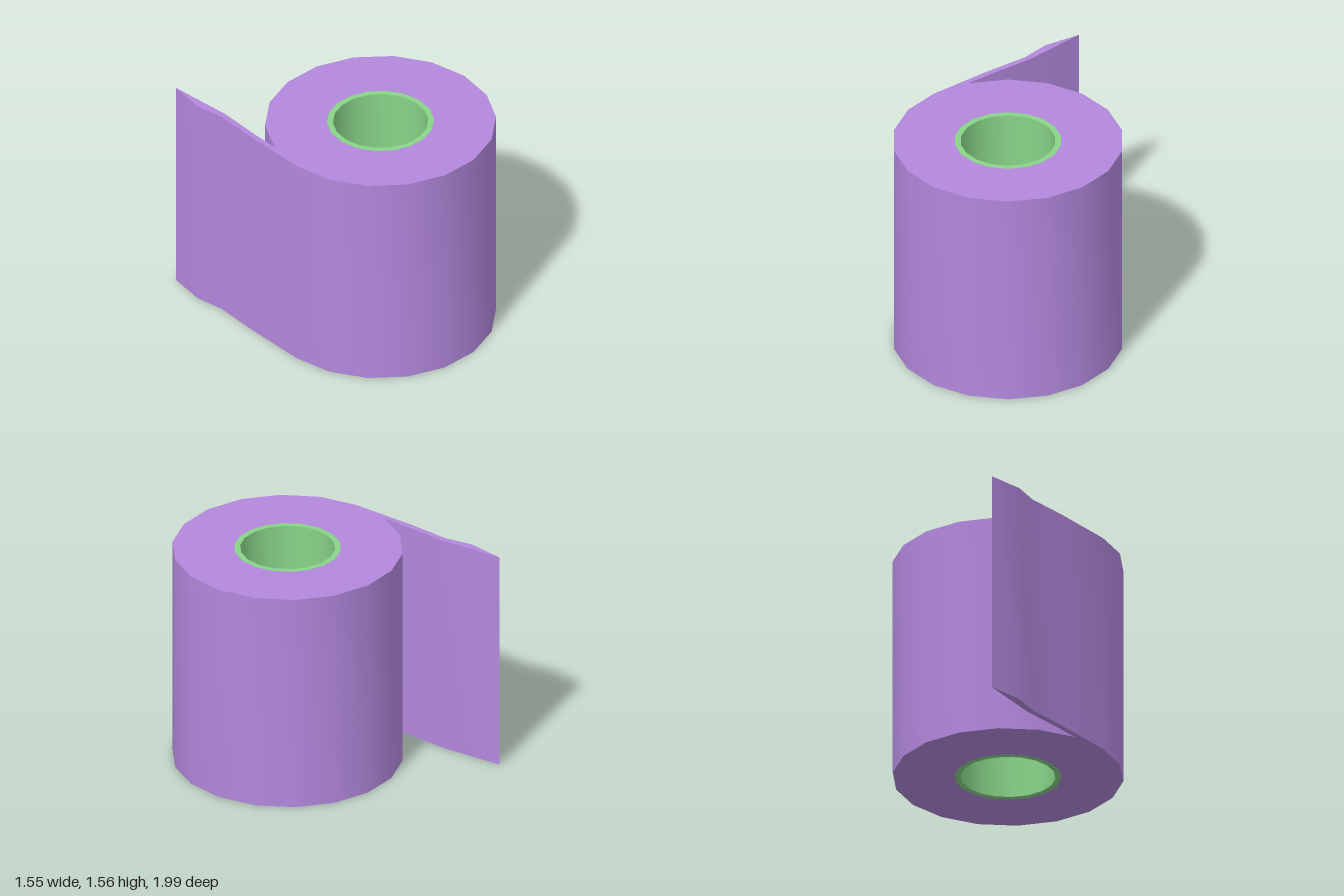
import * as THREE from 'three';
import { toCreasedNormals } from 'three/addons/utils/BufferGeometryUtils.js';

const HEIGHT = 1.56, SIDES = 18, CENTRE_Z = 0.23;

// Corners of a regular ring around the roll axis (shape y is world -z)
function ring(radius) {
  return Array.from({ length: SIDES }, (_, i) => {
    const a = (i / SIDES) * Math.PI * 2;
    return new THREE.Vector2(radius * Math.cos(a), radius * Math.sin(a) - CENTRE_Z);
  });
}

// Stands a plan outline with a round hole up to the full height
function upright(name, outline, holeRadius, color) {
  const shape = new THREE.Shape(outline);
  shape.holes.push(new THREE.Path(ring(holeRadius).reverse()));
  const extruded = new THREE.ExtrudeGeometry(shape, { depth: HEIGHT, bevelEnabled: false });
  extruded.rotateX(-Math.PI / 2);
  const mesh = new THREE.Mesh(toCreasedNormals(extruded, 0.5), new THREE.MeshStandardMaterial({ color }));
  mesh.name = name;
  return mesh;
}

export function createModel() {
  const group = new THREE.Group();
  group.name = 'paperRoll';

  // Wound paper, with the loose end leaving the left edge of the plan towards the back
  const looseEnd = [
    [-0.72, 0.25], [-0.698, 0.55], [-0.724, 1.0],
    [-0.768, 0.74], [-0.738, 0.54], [-0.762, 0.23],
  ].map(([x, y]) => new THREE.Vector2(x, y));
  const outline = ring(0.776);
  outline.splice(9, 0, ...looseEnd);
  group.add(upright('paper', outline, 0.36, 0xb388dd));

  // Cardboard tube
  group.add(upright('coreTube', ring(0.36), 0.32, 0x88d488));

  return group;
}
